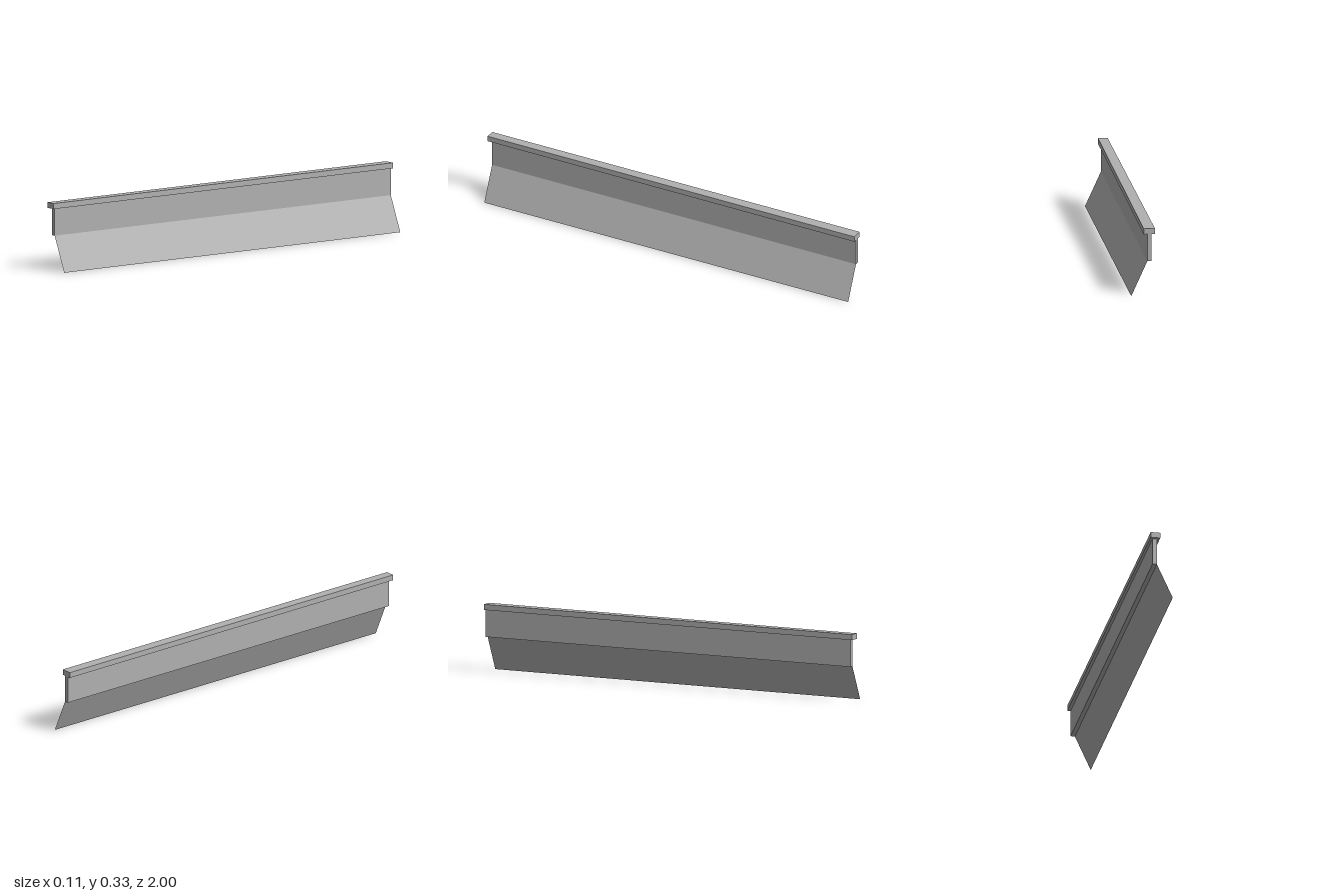
import * as THREE from 'three';

const steel = new THREE.MeshStandardMaterial({ color: 0xb0b0b0, side: THREE.DoubleSide });
steel.name = 'light grey';

// Box given by its minimum and maximum corners
function block(name, [x0, y0, z0], [x1, y1, z1]) {
  const geometry = new THREE.BoxGeometry(x1 - x0, y1 - y0, z1 - z0);
  geometry.translate((x0 + x1) / 2, (y0 + y1) / 2, (z0 + z1) / 2);
  const mesh = new THREE.Mesh(geometry, steel);
  mesh.name = name;
  return mesh;
}

export function createModel() {
  const group = new THREE.Group();
  group.name = 'barrier';
  const back = -1, front = 0.983;

  // Top cap, slightly narrower at the front end
  const cap = block('topCap', [-0.057, 0.301, back], [-0.003, 0.328, 1]);
  const p = cap.geometry.attributes.position;
  for (let i = 0; i < p.count; i++) {
    if (p.getZ(i) > 0) p.setX(i, -0.03 + (p.getX(i) + 0.03) * 0.86);
  }
  cap.geometry.computeVertexNormals();

  // Upright wall below the cap
  const wall = block('wall', [-0.041, 0.169, back], [-0.02, 0.301, front]);

  // Thin skirt sloping outward from the wall's foot to the ground
  const topX = -0.02, topY = 0.169, footX = 0.057;
  const skirtGeometry = new THREE.PlaneGeometry(front - back, Math.hypot(footX - topX, topY));
  skirtGeometry.rotateY(Math.PI / 2);
  skirtGeometry.rotateZ(Math.atan2(footX - topX, topY));
  skirtGeometry.translate((topX + footX) / 2, topY / 2, (front + back) / 2);
  const skirt = new THREE.Mesh(skirtGeometry, steel);
  skirt.name = 'slopedSkirt';

  group.add(cap, wall, skirt);
  return group;
}
